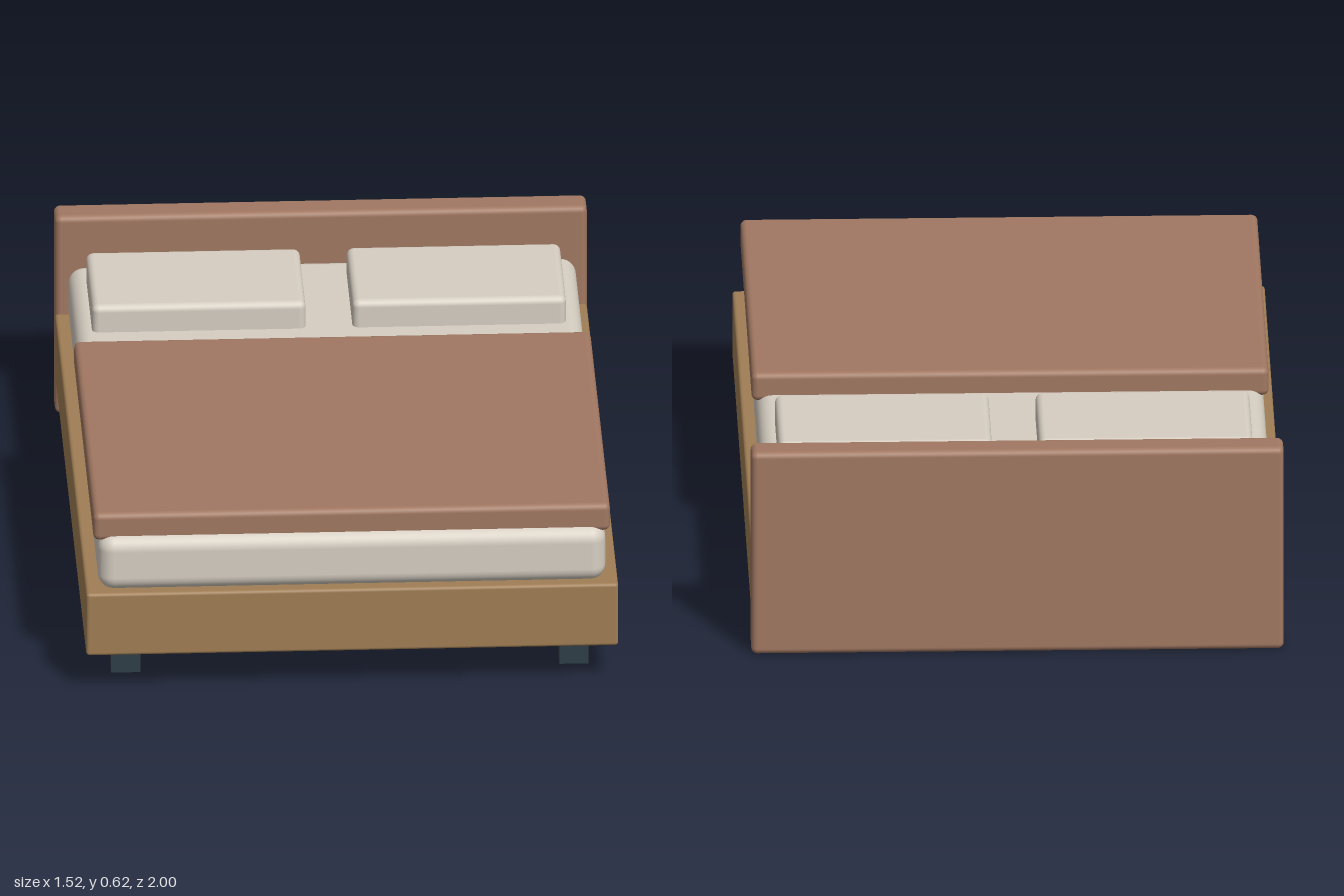
import * as THREE from 'three';
import { RoundedBoxGeometry } from 'three/addons/geometries/RoundedBoxGeometry.js';

const fabric = new THREE.MeshStandardMaterial({ color: 0xa17862 });
const wood = new THREE.MeshStandardMaterial({ color: 0xa07e55 });
const linen = new THREE.MeshStandardMaterial({ color: 0xd6cec2 });
const dark = new THREE.MeshStandardMaterial({ color: 0x2f3e46 });

// Box between two corners; radius 0 gives sharp edges
function block(name, material, [x0, y0, z0], [x1, y1, z1], radius) {
  const size = [x1 - x0, y1 - y0, z1 - z0];
  const geometry = radius
    ? new RoundedBoxGeometry(...size, 4, radius)
    : new THREE.BoxGeometry(...size);
  const mesh = new THREE.Mesh(geometry, material);
  mesh.name = name;
  mesh.position.set((x0 + x1) / 2, (y0 + y1) / 2, (z0 + z1) / 2);
  return mesh;
}

export function createModel() {
  const bed = new THREE.Group();
  bed.name = 'bed';

  // Frame and headboard
  bed.add(block('frame', wood, [-0.76, 0.12, -0.915], [0.76, 0.315, 1], 0.01));
  bed.add(block('headboard', fabric, [-0.76, 0, -1], [0.76, 0.62, -0.905], 0.018));

  // Bedding
  bed.add(block('mattress', linen, [-0.725, 0.315, -0.885], [0.725, 0.485, 0.995], 0.045));
  bed.add(block('blanket', fabric, [-0.738, 0.465, -0.222], [0.738, 0.55, 0.968], 0.018));

  // Pillows and legs, mirrored left and right
  for (const [side, s] of [['left', 1], ['right', -1]]) {
    const cx = s * 0.372;
    bed.add(block(side + 'Pillow', linen, [cx - 0.305, 0.445, -0.79], [cx + 0.305, 0.566, -0.41], 0.02));
    for (const [end, z] of [['Front', 0.812], ['Back', -0.808]]) {
      const x = s * 0.64;
      bed.add(block(side + end + 'Leg', dark, [x - 0.042, 0, z - 0.042], [x + 0.042, 0.125, z + 0.042], 0));
    }
  }
  return bed;
}
